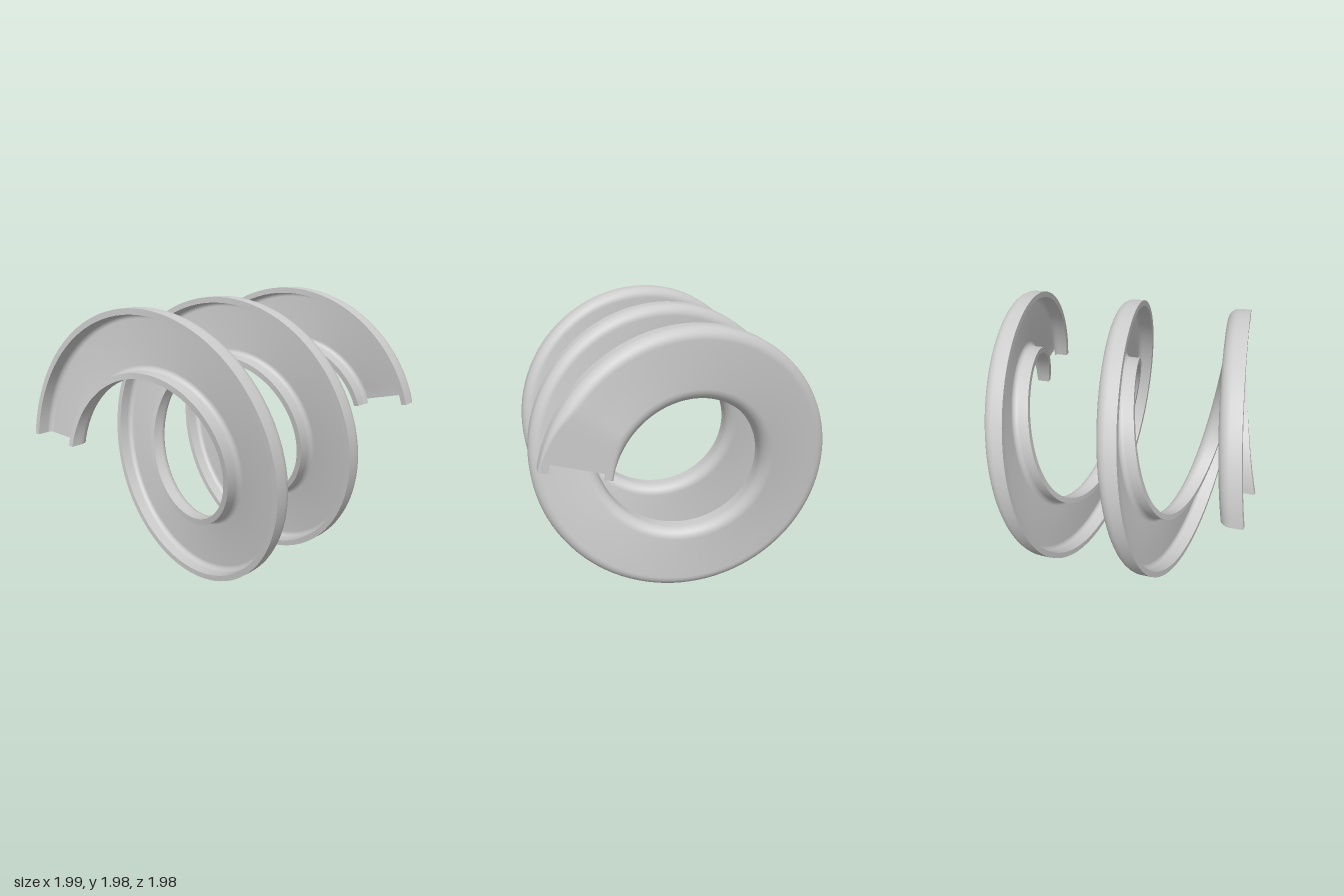
import * as THREE from 'three';

const R_OUT = 0.99, R_IN = 0.535;      // outer and inner radius of the coil
const WIDTH = 0.15, WALL = 0.04;       // depth of the channel, sheet thickness
const PITCH = 0.765, X0 = -1, CUT = 0.985;
const END = 5 * Math.PI - 0.21;        // total sweep angle
const STEPS = 240;

// U-shaped section as [x offset, radius] points, running over the web
function section(inset, fillet) {
  const top = R_OUT - inset, bottom = R_IN + inset, x = WIDTH - inset;
  const pts = [[0, top], [(x - fillet) / 2, top]];
  const corner = (cr, from) => {
    for (let k = 0; k <= 8; k++) {
      const a = from - (k / 8) * Math.PI / 2;
      pts.push([x - fillet + fillet * Math.cos(a), cr + fillet * Math.sin(a)]);
    }
  };
  corner(top - fillet, Math.PI / 2);
  for (let k = 1; k < 4; k++) pts.push([x, top - fillet + (bottom - top + 2 * fillet) * k / 4]);
  corner(bottom + fillet, 0);
  pts.push([(x - fillet) / 2, bottom], [0, bottom]);
  return pts;
}

// Section point carried along the helix about the x axis
function helix([u, r], angle) {
  return [X0 + PITCH * angle / (2 * Math.PI) + u, R_OUT + r * Math.sin(angle), -r * Math.cos(angle)];
}

// Grid surface cut off at x = CUT; quads wholly past the cut are dropped
function grid(rows, cols, at, flip = false, margin = 0) {
  const pos = [], idx = [], raw = [];
  for (let i = 0; i <= rows; i++) {
    for (let j = 0; j <= cols; j++) {
      const [x, y, z] = at(i, j);
      raw.push(x);
      pos.push(Math.min(x, CUT), y, z);
    }
  }
  for (let i = 0; i < rows; i++) {
    for (let j = 0; j < cols; j++) {
      const a = i * (cols + 1) + j, b = a + cols + 1;
      if (Math.min(raw[a], raw[a + 1], raw[b], raw[b + 1]) - margin > CUT) continue;
      if (flip) idx.push(a, a + 1, b, b, a + 1, b + 1);
      else idx.push(a, b, a + 1, b, b + 1, a + 1);
    }
  }
  const geo = new THREE.BufferGeometry();
  geo.setAttribute('position', new THREE.Float32BufferAttribute(pos, 3));
  geo.setIndex(idx);
  geo.computeVertexNormals();
  return geo;
}

export function createModel() {
  const group = new THREE.Group();
  group.name = 'helicalChannel';
  const material = new THREE.MeshStandardMaterial({ color: 0xcccccc, side: THREE.DoubleSide });
  const add = (name, geo) => {
    const mesh = new THREE.Mesh(geo, material);
    mesh.name = name;
    group.add(mesh);
  };

  const outer = section(0, 0.075), inner = section(WALL, 0.035);
  const last = outer.length - 1;
  const angle = i => END * i / STEPS;

  // Skins of the channel, which opens towards -x
  add('outerSkin', grid(STEPS, last, (i, j) => helix(outer[j], angle(i)), false, WALL));
  add('innerSkin', grid(STEPS, last, (i, j) => helix(inner[j], angle(i)), true));

  // Flat rims of the two flanges
  add('outerFlangeRim', grid(STEPS, 1, (i, j) => helix(j ? outer[0] : inner[0], angle(i))));
  add('innerFlangeRim', grid(STEPS, 1, (i, j) => helix(j ? inner[last] : outer[last], angle(i))));

  // Cut ends of the sheet
  add('startCap', grid(last, 1, (i, j) => helix((j ? inner : outer)[i], 0)));
  add('endCap', grid(last, 1, (i, j) => helix((j ? inner : outer)[i], END), true));

  return group;
}
